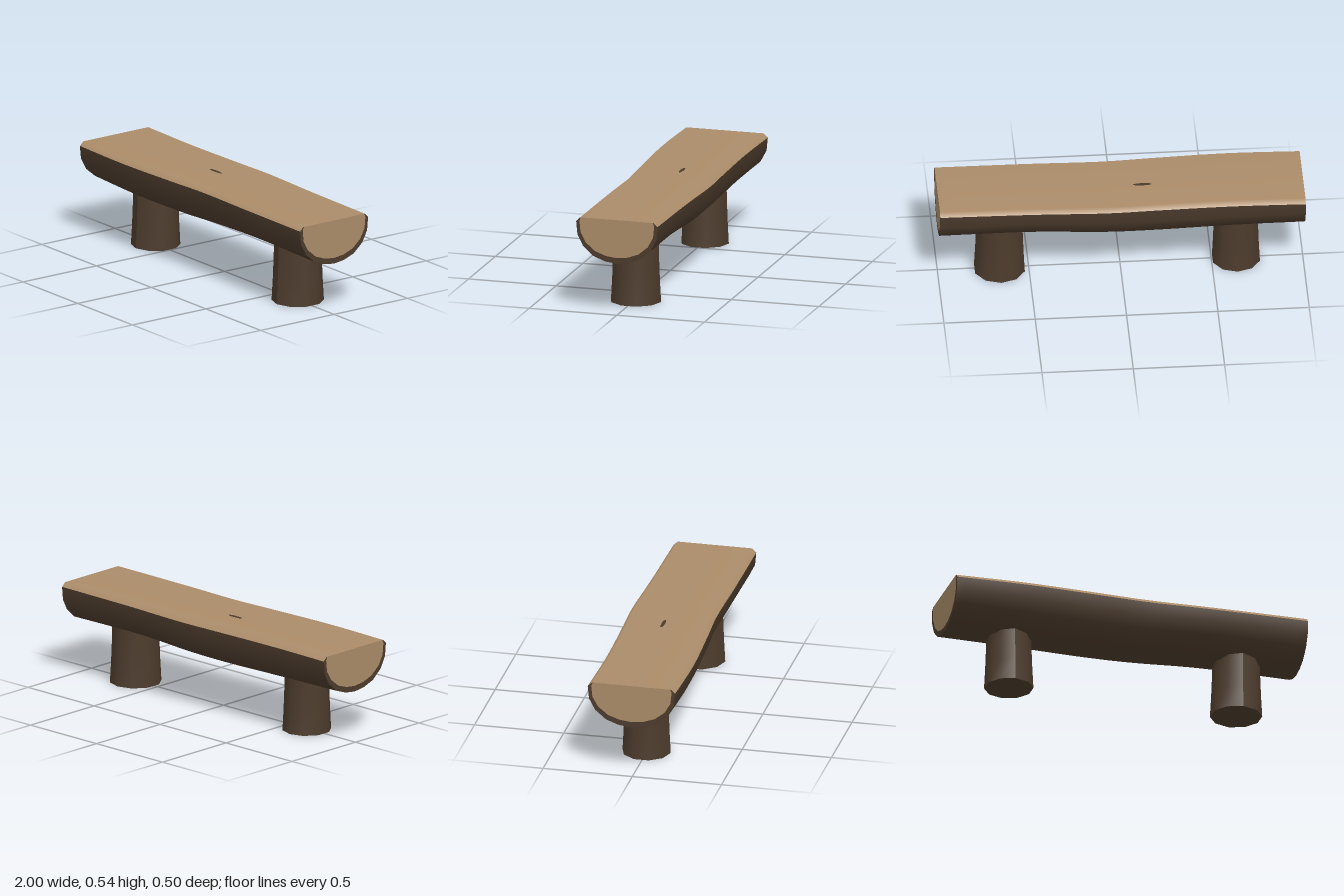
import * as THREE from 'three';

const TOP = 0.537;
const wood = new THREE.MeshStandardMaterial({ color: 0xab8c69 });
wood.name = 'cutWood';
const bark = new THREE.MeshStandardMaterial({ color: 0x4c3b2c });
bark.name = 'bark';

// Log stations along x: [x, centre z, half width, underside y]
const stations = [
  [-1, -0.005, 0.245, 0.291], [-0.6, 0.005, 0.245, 0.28], [-0.2, -0.006, 0.241, 0.275],
  [0.1, -0.017, 0.238, 0.283], [0.5, -0.006, 0.235, 0.297], [1, 0, 0.232, 0.29],
];
const path = (i) => new THREE.SplineCurve(stations.map((s) => new THREE.Vector2(s[0], s[i])));
const [centre, half, under] = [1, 2, 3].map(path);

// Half section: [share of half width, share of depth below the seat]
const rim = [[0.9, 0], [1, 0.09], [0.97, 0.39], [0.83, 0.65], [0.58, 0.86], [0.29, 0.965], [0, 1]];
const section = [...rim, ...rim.slice(0, -1).reverse().map(([z, d]) => [-z, d])];

function ring(t, profile) {
  const c = centre.getPoint(t), w = half.getPoint(t).y, depth = TOP - under.getPoint(t).y;
  return profile.map(([z, d]) => new THREE.Vector3(c.x, TOP - d * depth, c.y + z * w));
}

// Skin a strip of the section along the log
function skin(name, profile, material) {
  const steps = 30, n = profile.length, pos = [], index = [];
  for (let j = 0; j <= steps; j++) {
    ring(j / steps, profile).forEach((p) => pos.push(p.x, p.y, p.z));
    for (let k = 0; j < steps && k < n - 1; k++) {
      const a = j * n + k, b = a + n;
      index.push(a, a + 1, b, a + 1, b + 1, b);
    }
  }
  const g = new THREE.BufferGeometry();
  g.setAttribute('position', new THREE.Float32BufferAttribute(pos, 3));
  g.setIndex(index);
  g.computeVertexNormals();
  const mesh = new THREE.Mesh(g, material);
  mesh.name = name;
  return mesh;
}

// Flat end: cut wood surrounded below by a band of bark
function logEnd(side) {
  const group = new THREE.Group();
  group.name = side > 0 ? 'leftEnd' : 'rightEnd';
  const inner = section.map(([z, d]) => [z * (d === 0 ? 0.985 : 0.92), d * 0.87]);
  const flat = (profile) => ring(side > 0 ? 1 : 0, profile).map((p) => new THREE.Vector2(-side * p.z, p.y));
  const add = (name, points, material) => {
    const mesh = new THREE.Mesh(new THREE.ShapeGeometry(new THREE.Shape(points)), material);
    mesh.rotation.y = side * Math.PI / 2;
    mesh.position.x = side;
    mesh.name = name;
    group.add(mesh);
  };
  add('endWood', flat(inner), wood);
  add('endBark', [...flat(section), ...flat(inner).reverse()], bark);
  return group;
}

// Slightly flared stump leg, its top buried in the log
function leg(name, x, z, radius) {
  const g = new THREE.CylinderGeometry(radius * 0.9, radius, 0.36, 10, 3);
  const p = g.attributes.position;
  for (let i = 0; i < p.count; i++) {
    const h = p.getY(i) / 0.36 + 0.5;
    const s = 1 - 0.06 * h * (1 - h);
    p.setX(i, p.getX(i) * s);
    p.setZ(i, p.getZ(i) * s);
  }
  g.computeVertexNormals();
  const mesh = new THREE.Mesh(g, bark);
  mesh.name = name;
  mesh.position.set(x, 0.18, z);
  return mesh;
}

export function createModel() {
  const model = new THREE.Group();
  model.name = 'logBench';
  model.add(skin('logBark', section.slice(1, -1), bark));
  model.add(skin('seatTop', [[-1, 0.09], [-0.9, 0], [0.9, 0], [1, 0.09]], wood));
  model.add(logEnd(1), logEnd(-1));
  model.add(leg('rightLeg', -0.635, -0.004, 0.135), leg('leftLeg', 0.66, -0.006, 0.143));

  // Small dark knot in the seat
  const knot = new THREE.Mesh(new THREE.CylinderGeometry(0.05, 0.05, 0.002, 16), bark);
  knot.name = 'knot';
  knot.scale.z = 0.2;
  knot.position.set(-0.12, TOP, -0.03);
  model.add(knot);
  return model;
}
